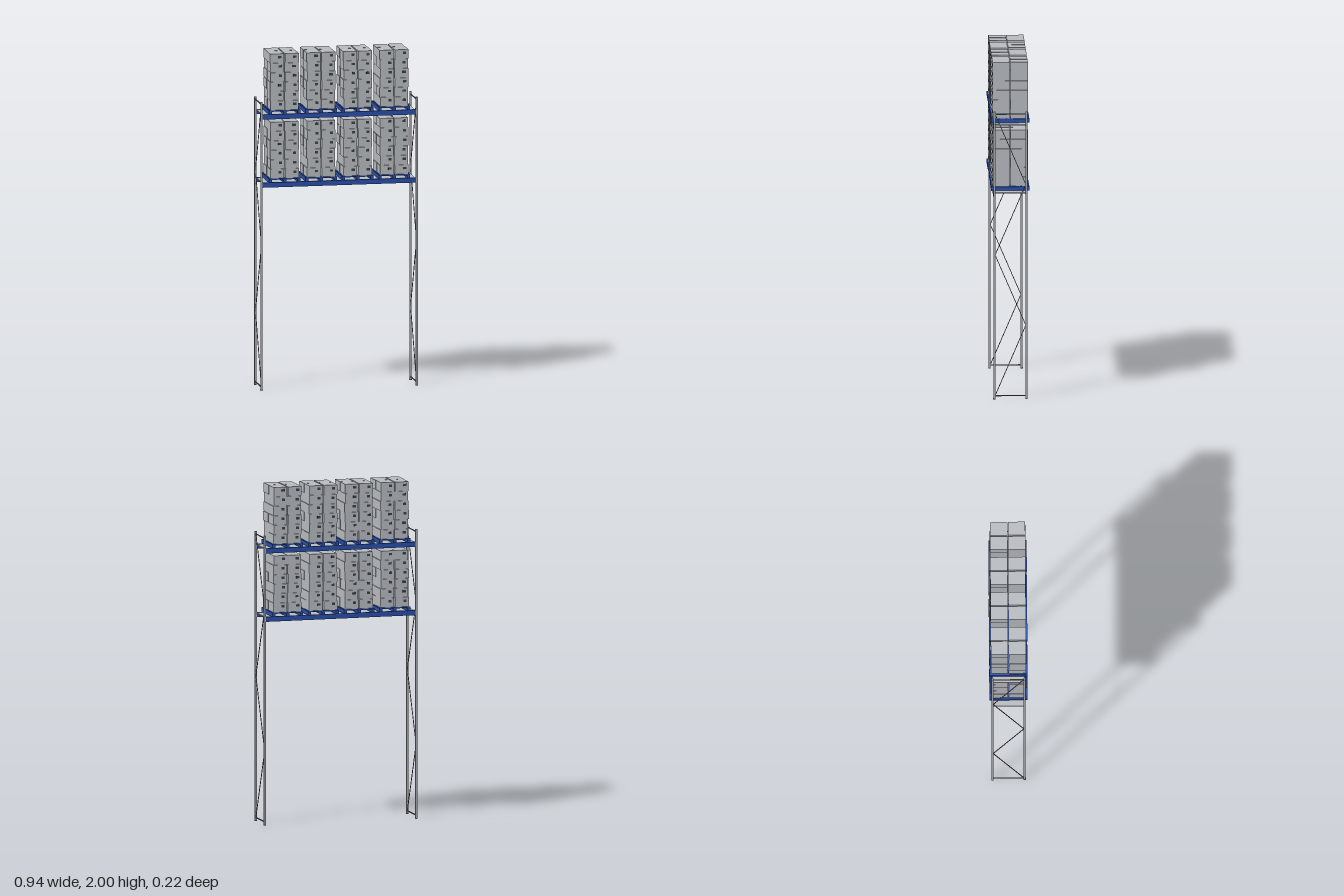
import * as THREE from 'three';

const mat = (name, color, extra = {}) => {
  const m = new THREE.MeshStandardMaterial({ color });
  m.name = name;
  return Object.assign(m, extra);
};

export function createModel() {
  const steel = mat('galvanised steel', 0xa9abac);
  const carton = mat('light grey crate', 0xb9bdc2);
  const blue = mat('blue paint', 0x2a50ad);
  const dark = mat('dark recess', 0x39414f);
  const brace = mat('brace grey', 0x74777b);

  const model = new THREE.Group();
  model.name = 'loadedPalletRack';

  const box = (parent, name, material, [w, h, d], [x, y, z]) => {
    const mesh = new THREE.Mesh(new THREE.BoxGeometry(w, h, d), material);
    mesh.name = name;
    mesh.position.set(x, y, z);
    parent.add(mesh);
    return mesh;
  };

  // End frames: two posts, level ties and zigzag bracing
  const zigzag = [[0.09, 0.02], [-0.09, 0.44], [0.09, 0.86], [-0.09, 1.28], [0.09, 1.7]];
  for (const side of [-1, 1]) {
    const frame = new THREE.Group();
    frame.name = side > 0 ? 'leftEndFrame' : 'rightEndFrame';
    const x = side * 0.4625;
    for (const z of [-0.094, 0.094]) {
      box(frame, 'post', steel, [0.012, 1.715, 0.012], [x, 0.8575, z]);
      box(frame, 'footPlate', brace, [0.013, 0.005, 0.014], [x, 0.0025, z]);
    }
    for (const y of [0.02, 1.7]) box(frame, 'crossTie', brace, [0.005, 0.006, 0.18], [x, y, 0]);
    for (let i = 0; i < zigzag.length - 1; i++) {
      const [z0, y0] = zigzag[i], [z1, y1] = zigzag[i + 1];
      const bar = box(frame, 'diagonalBrace', brace,
        [0.004, Math.hypot(y1 - y0, z1 - z0), 0.004], [x, (y0 + y1) / 2, (z0 + z1) / 2]);
      bar.rotation.x = Math.atan2(z1 - z0, y1 - y0);
    }
    model.add(frame);
  }

  // Pallet: three runners under a slatted top
  const makePallet = () => {
    const pallet = new THREE.Group();
    pallet.name = 'pallet';
    for (const [x, w] of [[-0.085, 0.017], [0, 0.018], [0.085, 0.017]])
      box(pallet, 'runner', blue, [w, 0.02, 0.224], [x, 0.01, 0]);
    for (let i = 0; i < 5; i++)
      box(pallet, 'topSlat', blue, [0.176, 0.008, 0.036], [0, 0.021, (i - 2) * 0.0435]);
    box(pallet, 'topSheet', blue, [0.176, 0.004, 0.21], [0, 0.019, 0]);
    for (const z of [-0.1085, 0.1085])
      box(pallet, 'edgeRail', blue, [0.187, 0.007, 0.007], [0, 0.0215, z]);
    for (const x of [-0.09, 0.09])
      box(pallet, 'sideRail', blue, [0.007, 0.005, 0.224], [x, 0.0205, 0]);
    return pallet;
  };

  // Crate stack: 2 x 2 columns, six layers, slightly staggered
  const layerHeight = 0.056;
  const makeStack = (seed) => {
    const stack = new THREE.Group();
    stack.name = 'crateStack';
    for (const sx of [-1, 1]) for (const sz of [-1, 1]) for (let layer = 0; layer < 6; layer++) {
      const crate = new THREE.Group();
      crate.name = 'crate';
      const shift = 0.0022 * Math.sin(layer * 1.9 + seed + sx * 0.8 + sz * 0.5);
      crate.position.set(sx * 0.0435 + shift, (layer + 0.5) * layerHeight, sz * 0.0525);
      box(crate, 'crateBody', carton, [0.082, layerHeight - 0.001, 0.102], [0, 0, 0]);
      // Handle slot on the outward face
      box(crate, 'handleSlot', dark, [0.019, 0.014, 0.002], [sz * 0.017, 0.008, sz * 0.0512]);
      stack.add(crate);
    }
    return stack;
  };

  // Storage levels: beams, shelf deck and four loaded pallets
  [1.235, 1.64].forEach((y, level) => {
    const storage = new THREE.Group();
    storage.name = level ? 'upperLevel' : 'lowerLevel';
    storage.position.y = y;
    for (const z of [-0.095, 0.095])
      box(storage, 'beam', blue, [0.914, 0.029, 0.011], [0, -0.0145, z]);
    box(storage, 'shelfDeck', carton, [0.912, 0.006, 0.18], [0, -0.006, 0]);
    for (let i = 0; i < 4; i++) {
      const load = new THREE.Group();
      load.name = 'loadedPallet';
      load.position.x = (i - 1.5) * 0.218;
      const stack = makeStack(level * 2 + i * 0.15);
      stack.position.y = 0.0245;
      load.add(makePallet(), stack);
      storage.add(load);
    }
    model.add(storage);
  });

  return model;
}
